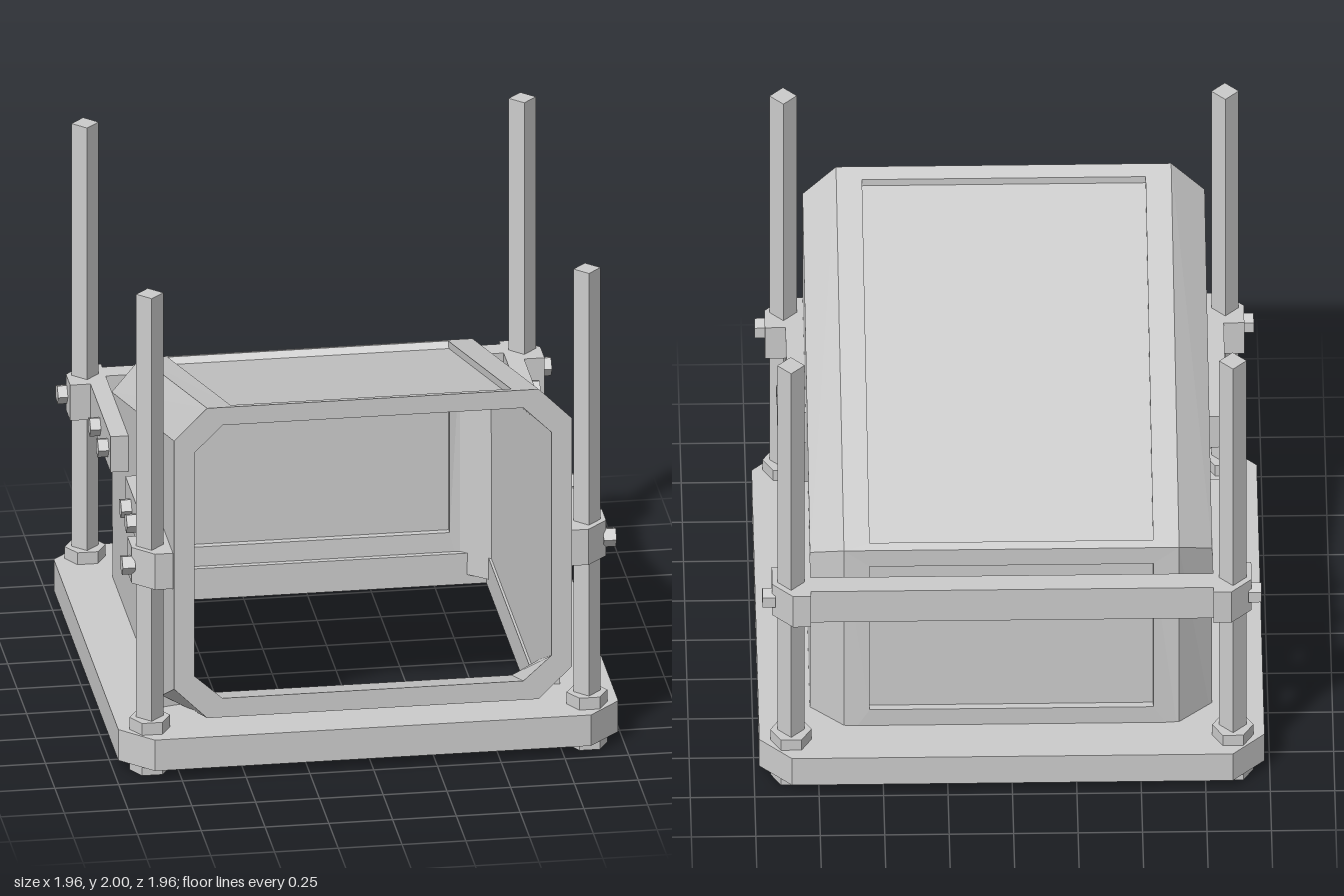
import * as THREE from 'three';

const mat = new THREE.MeshStandardMaterial({ color: 0xcccccc, flatShading: true });
const shellMat = new THREE.MeshStandardMaterial({ color: 0xcccccc, flatShading: true, side: THREE.DoubleSide });

export function createModel() {
  const root = new THREE.Group();

  function add(name, geo, x = 0, y = 0, z = 0, parent = root, material = mat) {
    const m = new THREE.Mesh(geo, material);
    m.name = name;
    m.position.set(x, y, z);
    parent.add(m);
    return m;
  }

  // Flat prism standing on y = 0, from [x, z] outline points
  function prism(points, height, hole) {
    const vec = (p) => new THREE.Vector2(p[0], -p[1]);
    const shape = new THREE.Shape(points.map(vec));
    if (hole) shape.holes.push(new THREE.Path(hole.map(vec)));
    const geo = new THREE.ExtrudeGeometry(shape, { depth: height, bevelEnabled: false });
    return geo.rotateX(-Math.PI / 2);
  }

  // Faces given as corner loops, each fanned from its first corner
  function facets(name, loops, parent) {
    const pos = [];
    for (const l of loops)
      for (let i = 1; i < l.length - 1; i++) pos.push(...l[0], ...l[i], ...l[i + 1]);
    const geo = new THREE.BufferGeometry();
    geo.setAttribute('position', new THREE.Float32BufferAttribute(pos, 3));
    geo.computeVertexNormals();
    add(name, geo, 0, 0, 0, parent, shellMat);
  }

  const flip = ([x, y, z]) => [-x, y, z];
  const mirrored = (loops) => loops.concat(loops.map((l) => l.map(flip)));
  const across = (a, b) => [a, b, flip(b), flip(a)];
  const ring = (a, b) => a.map((p, i) => {
    const j = (i + 1) % a.length;
    return [p, a[j], b[j], b[i]];
  });

  // Base plate with chamfered corners and open middle
  const e = 0.98, c = 0.855;
  add('basePlate', prism(
    [[c, e], [e, c], [e, -c], [c, -e], [-c, -e], [-e, -c], [-e, c], [-c, e]], 0.13,
    [[0.69, 0.66], [0.69, -0.68], [-0.69, -0.68], [-0.69, 0.66]]), 0, 0.04, 0);

  // Hood corners on the +x side: front rim, back edge, foot and front lip
  const outer = {
    f: [[0.65, 1.555, 0.98], [0.78, 1.425, 0.98], [0.78, 0.38, 0.98], [0.65, 0.25, 0.98]],
    b: [[0.65, 1.03, -0.78], [0.78, 0.94, -0.67], [0.78, 0.08, -0.65], [0.65, 0.08, -0.77]],
    l: [[0.78, 0.22, 0.66], [0.65, 0.15, 0.68], [0.78, 0.08, 0.66]],
  };
  const inner = {
    f: [[0.59, 1.48, 0.98], [0.70, 1.37, 0.98], [0.70, 0.43, 0.98], [0.59, 0.33, 0.98]],
    b: [[0.59, 0.976, -0.71], [0.70, 0.91, -0.62], [0.70, 0.08, -0.61], [0.59, 0.08, -0.70]],
    l: [[0.70, 0.27, 0.64], [0.59, 0.22, 0.66], [0.70, 0.08, 0.64]],
  };
  const hood = new THREE.Group();
  hood.name = 'hood';
  root.add(hood);

  for (const [name, s] of [['outerShell', outer], ['innerShell', inner]]) {
    const { f, b, l } = s;
    facets(name, mirrored([
      [b[1], f[1], f[2], l[0], l[2], b[2]], // side wall
      [f[0], f[1], b[1], b[0]],             // roof chamfer
      [b[0], b[1], b[2], b[3]],             // back chamfer
      [f[2], f[3], l[1], l[0]],             // front lip chamfer
    ]).concat([across(f[3], l[1])]), hood);
  }

  // Front rim and the closing edges of lip and foot
  const loop = (f) => f.concat([...f].reverse().map(flip));
  facets('frontRim', ring(loop(outer.f), loop(inner.f)), hood);
  const [o, n] = [outer, inner];
  facets('shellEdges', mirrored([
    [o.l[0], o.l[1], n.l[1], n.l[0]],
    [o.l[0], o.l[2], n.l[2], n.l[0]],
    [o.l[2], o.b[2], n.b[2], n.l[2]],
    [o.b[2], o.b[3], n.b[3], n.b[2]],
  ]).concat([across(o.l[1], n.l[1]), across(o.b[3], n.b[3])]), hood);

  // Framed window: outer frame, inner frame, and a pane set between them
  function framedWindow(name, outEdge, inEdge, outHole, inHole, depth) {
    const move = (q, t) => q.map((p, i) => p.map((v, k) => v + (inHole[i][k] - v) * t));
    const paneOut = move(outHole, depth), paneIn = move(outHole, 0.6);
    facets(name + 'Frame', [
      ...ring(outEdge, outHole), ...ring(outHole, paneOut),
      ...ring(inEdge, inHole), ...ring(inHole, paneIn)], hood);
    facets(name + 'Pane', [paneOut, paneIn], hood);
  }
  const roofY = (z) => 1.555 - (0.98 - z) * 0.298;
  const roofHole = (drop, front, back) =>
    across([0.55, roofY(front) - drop, front], [0.55, roofY(back) - drop, back]);
  framedWindow('roof', across(o.f[0], o.b[0]), across(n.f[0], n.b[0]),
    roofHole(0, 0.92, -0.745), roofHole(0.075, 0.92, -0.70), 0.4);
  const backHole = (z, top) => across([0.55, top, z], [0.55, 0.25, z]);
  framedWindow('back', across(o.b[0], o.b[3]), across(n.b[0], n.b[3]),
    backHole(-0.778, 0.95), backHole(-0.706, 0.95), 0.4);

  // Corner posts with nuts, clamps and clamp bolts
  const p = 0.857, armY = 0.79, armH = 0.15, boltY = 0.865;
  const postGeo = new THREE.CylinderGeometry(0.053, 0.053, 1.98, 4);
  const nutGeo = new THREE.CylinderGeometry(0.08, 0.08, 0.05, 6).rotateY(Math.PI / 6);
  const boltGeo = new THREE.CylinderGeometry(0.04, 0.04, 0.05, 5).rotateZ(Math.PI / 2);
  const clampOutline = [[0.78, 0.84], [0.85, 0.76], [0.93, 0.76], [0.93, 0.87], [0.85, 0.95], [0.78, 0.95]];
  for (const sx of [1, -1]) for (const sz of [1, -1]) {
    const corner = new THREE.Group();
    corner.name = 'cornerPost';
    root.add(corner);
    add('post', postGeo, sx * p, 1.01, sz * p, corner);
    add('upperNut', nutGeo, sx * p, 0.195, sz * p, corner);
    add('lowerNut', nutGeo, sx * p, 0.025, sz * p, corner);
    add('clamp', prism(clampOutline.map(([x, z]) => [sx * x, sz * z]), armH), 0, armY, 0, corner);
    add('clampBolt', boltGeo, sx * 0.943, boltY, sz * p, corner);
  }

  // Side arms bolted to the hood: side, z direction, end, bolt positions
  const arms = [
    [1, 1, 0.22, [0.30, 0.43]],
    [1, -1, 0.22, [0.28, 0.635]],
    [-1, 1, 0.165, [0.30, 0.45]],
    [-1, -1, 0.23, [0.31, 0.52]],
  ];
  for (const [sx, sz, end, bolts] of arms) {
    const len = 0.84 - end;
    add('sideArm', new THREE.BoxGeometry(0.07, armH, len), sx * 0.815, boltY, sz * (end + len / 2));
    for (const z of bolts) add('armBolt', boltGeo, sx * 0.866, boltY, sz * z);
  }

  // Cross bar joining the rear clamps
  add('rearBar', new THREE.BoxGeometry(1.6, armH, 0.09), 0, boltY, -0.875);

  return root;
}
